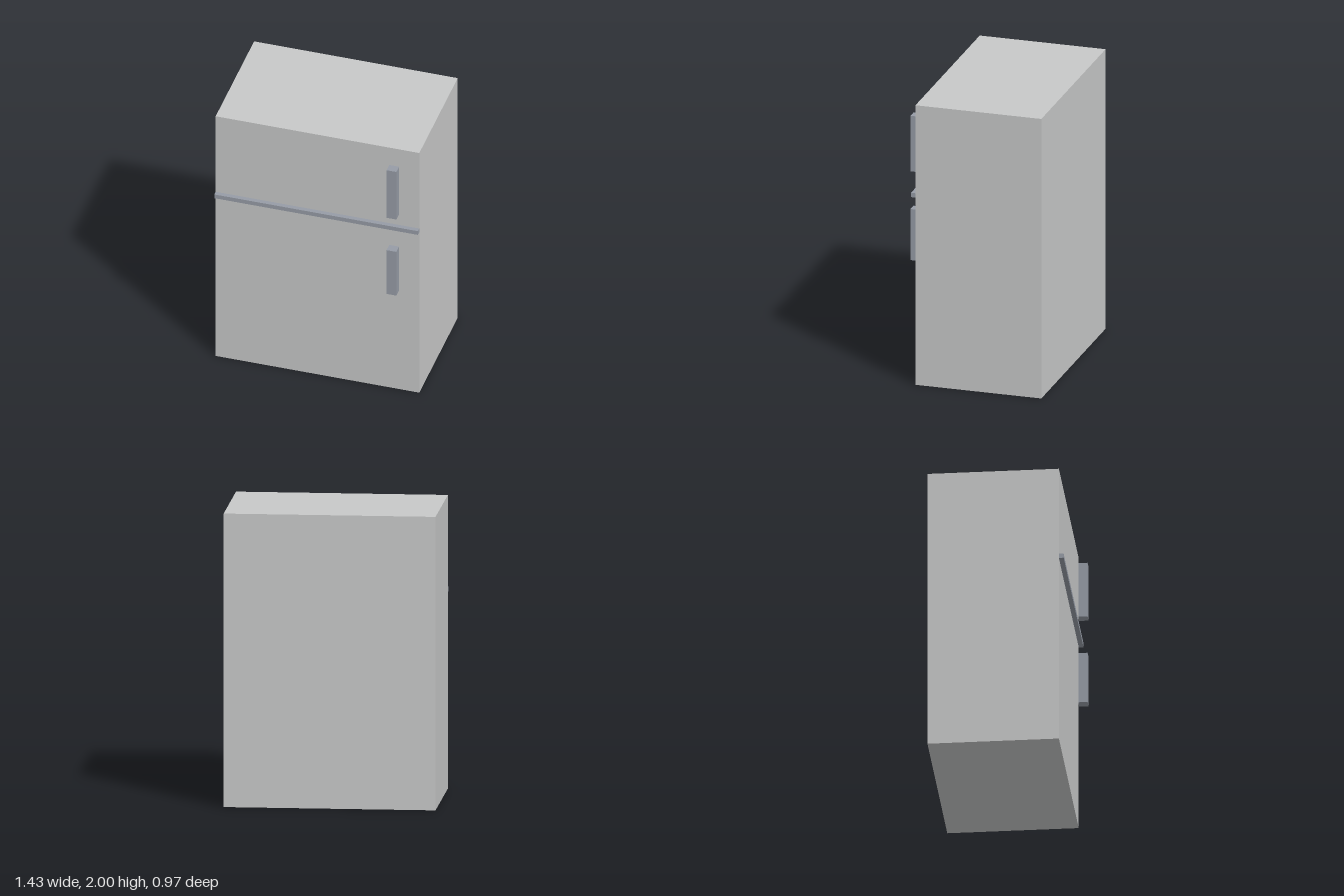
import * as THREE from 'three';

export function createModel() {
  const model = new THREE.Group();
  model.name = 'refrigerator';

  const enamel = new THREE.MeshStandardMaterial({ color: 0xc7c8c8 });
  enamel.name = 'light grey enamel';
  const trim = new THREE.MeshStandardMaterial({ color: 0x969ca6 });
  trim.name = 'blue grey trim';

  // Box given by its lower and upper limits on each axis
  function addBox(name, material, [x0, x1], [y0, y1], [z0, z1]) {
    const mesh = new THREE.Mesh(new THREE.BoxGeometry(x1 - x0, y1 - y0, z1 - z0), material);
    mesh.position.set((x0 + x1) / 2, (y0 + y1) / 2, (z0 + z1) / 2);
    mesh.name = name;
    model.add(mesh);
  }

  const width = [-0.715, 0.715];
  const handleX = [0.509, 0.578];
  const handleZ = [0.42, 0.483];

  // Cabinet
  addBox('cabinet', enamel, width, [0, 2], [-0.483, 0.404]);

  // Strip between the freezer and fridge doors
  addBox('doorDivider', trim, width, [1.339, 1.37], [0.404, 0.436]);

  // Handles, standing just clear of the doors
  addBox('freezerHandle', trim, handleX, [1.471, 1.868], handleZ);
  addBox('fridgeHandle', trim, handleX, [0.836, 1.201], handleZ);

  return model;
}
